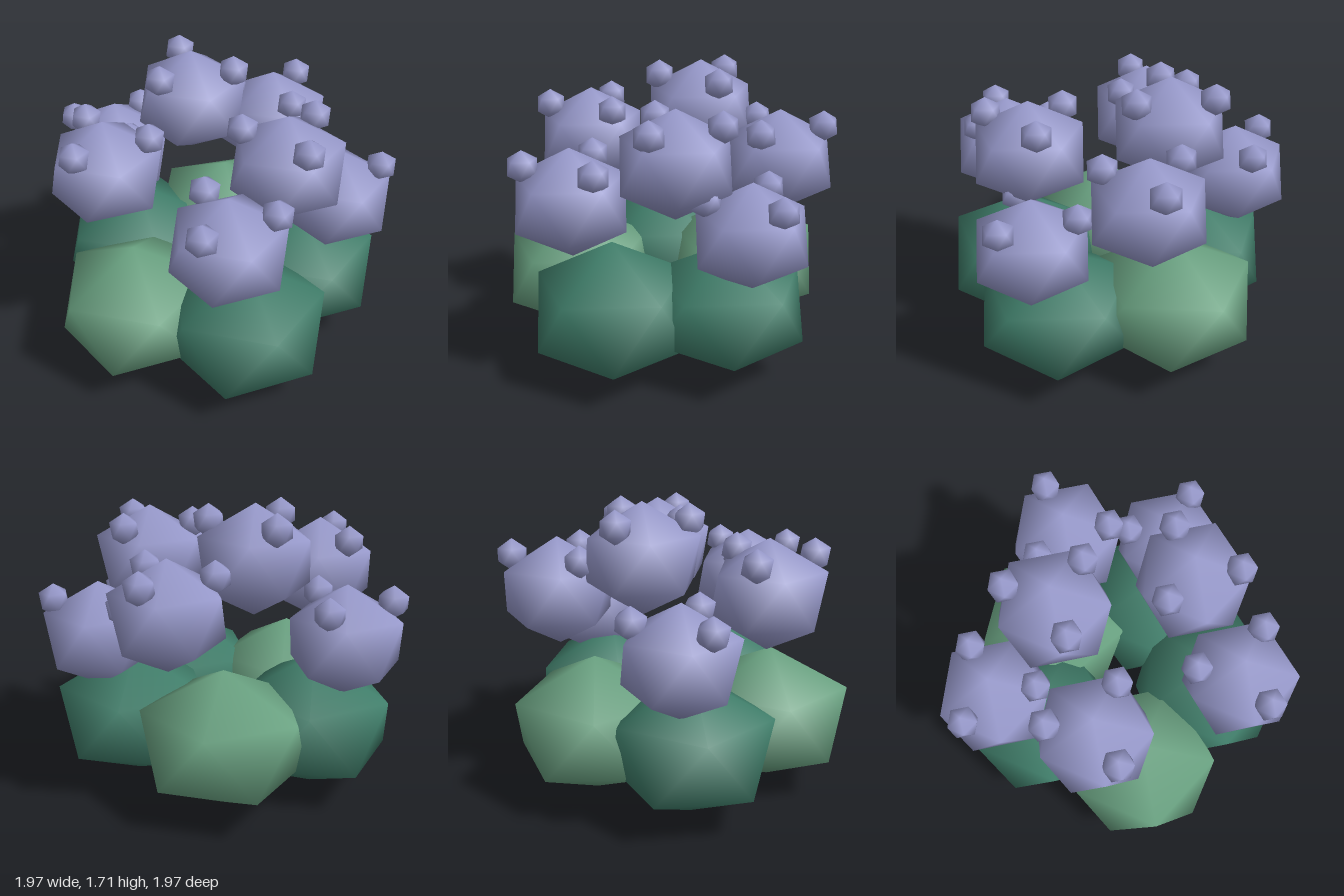
import * as THREE from 'three';
import { mergeVertices } from 'three/addons/utils/BufferGeometryUtils.js';

// Unit icosahedron standing on a vertex, with smooth normals
function makeBlob() {
  const verts = [0, 1, 0], faces = [];
  const h = 1 / Math.sqrt(5), r = 2 * h;
  for (let i = 0; i < 5; i++) {
    const a = i * Math.PI * 0.4;
    verts.push(r * Math.cos(a), h, r * Math.sin(a));
  }
  for (let i = 0; i < 5; i++) {
    const a = (i + 0.5) * Math.PI * 0.4;
    verts.push(r * Math.cos(a), -h, r * Math.sin(a));
  }
  verts.push(0, -1, 0);
  const up = (i) => 1 + ((i + 5) % 5), low = (i) => 6 + ((i + 5) % 5);
  for (let i = 0; i < 5; i++) {
    faces.push(0, up(i + 1), up(i));
    faces.push(up(i), up(i + 1), low(i));
    faces.push(up(i), low(i), low(i - 1));
    faces.push(11, low(i), low(i + 1));
  }
  let geo = new THREE.PolyhedronGeometry(verts, faces, 1, 0);
  geo.deleteAttribute('normal');
  geo.deleteAttribute('uv');
  geo = mergeVertices(geo, 1e-4);
  geo.computeVertexNormals();
  return geo;
}

export function createModel() {
  const model = new THREE.Group();
  const mat = (name, color) => {
    const m = new THREE.MeshStandardMaterial({ color });
    m.name = name;
    return m;
  };
  const darkGreen = mat('dark green', 0x41806c);
  const lightGreen = mat('light green', 0x6ba483);
  const lilac = mat('lilac', 0x9a9ccf);
  const geo = makeBlob();

  const blob = (parent, name, material, x, y, z, r, ry, turn = 0) => {
    const mesh = new THREE.Mesh(geo, material);
    mesh.name = name;
    mesh.position.set(x, y, z);
    mesh.scale.set(r, ry, r);
    mesh.rotation.y = turn;
    parent.add(mesh);
  };

  // Ring of leaf clumps at the base
  const leaves = new THREE.Group();
  leaves.name = 'leafClumps';
  model.add(leaves);
  [
    [lightGreen, -0.54, 0.43, 0.31, 0.495, 0.4],
    [darkGreen, 0.08, 0.42, 0.5, 0.5, 0.42],
    [darkGreen, 0.45, 0.43, -0.03, 0.5, 0.385],
    [lightGreen, 0.02, 0.445, -0.54, 0.51, 0.4, -0.1],
    [darkGreen, -0.54, 0.43, -0.34, 0.495, 0.4],
  ].forEach(([m, ...p]) => blob(leaves, 'leafClump', m, ...p));

  // Flower heads, each with three small buds: x, y, z, bud angle in degrees
  [
    [-0.03, 1.08, 0.685, 4],
    [-0.675, 1.21, 0.1, 5],
    [0.65, 0.915, -0.02, 4],
    [0.32, 1.29, 0.24, -48],
    [0.32, 1.165, -0.54, -50],
    [-0.65, 0.98, -0.54, -52],
    [-0.18, 1.4, -0.36, 16],
  ].forEach(([x, y, z, angle]) => {
    const flower = new THREE.Group();
    flower.name = 'flower';
    flower.position.set(x, y, z);
    model.add(flower);
    blob(flower, 'flowerHead', lilac, 0, 0, 0, 0.35, 0.31);
    for (let i = 0; i < 3; i++) {
      const a = THREE.MathUtils.degToRad(angle + i * 120);
      blob(flower, 'bud', lilac, 0.25 * Math.cos(a), 0.21, 0.25 * Math.sin(a), 0.093, 0.093);
    }
  });
  return model;
}
